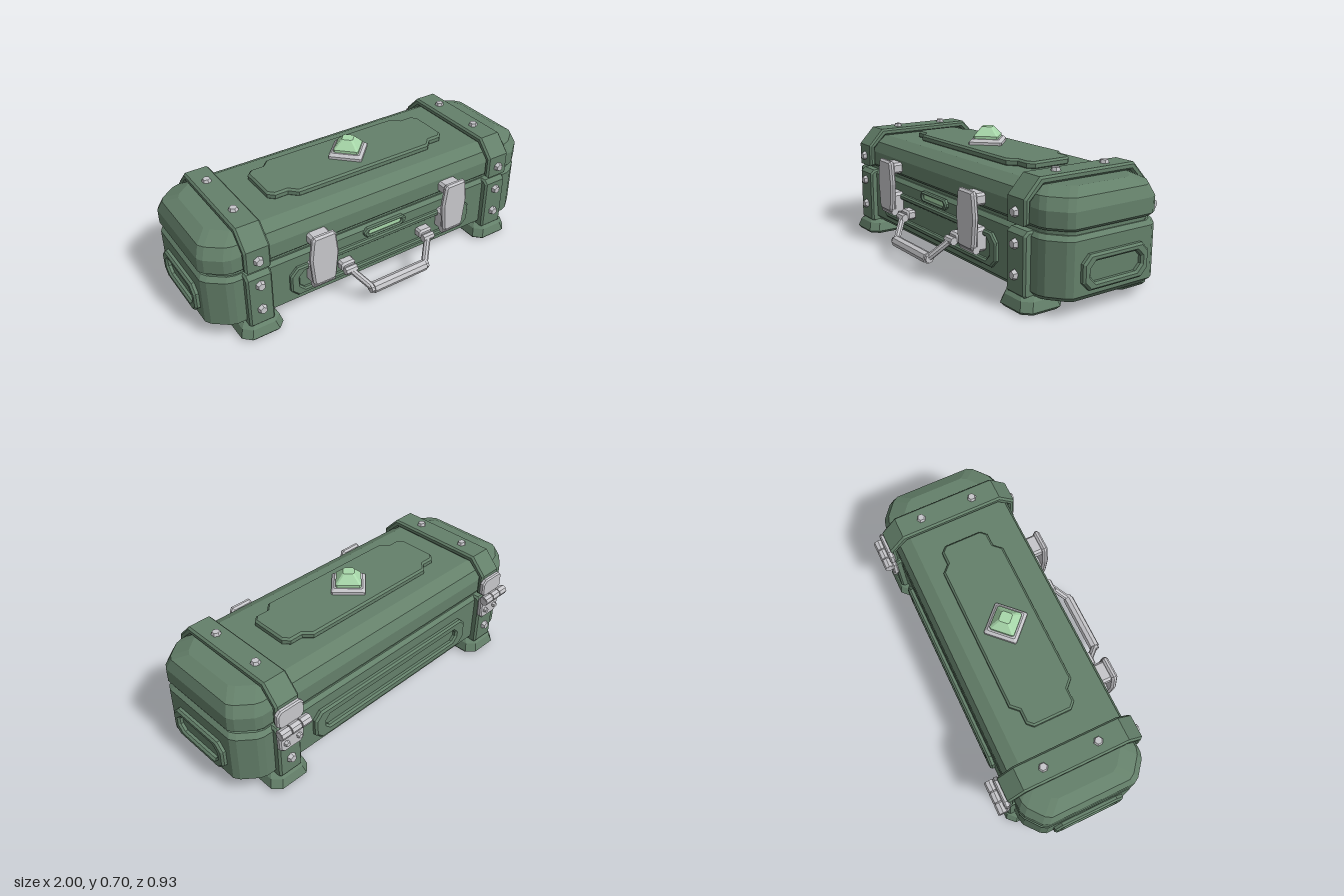
import * as THREE from 'three';

const mat = (name, color) => Object.assign(new THREE.MeshStandardMaterial({ color }), { name });

// Mirrors a quarter outline (from the x side round to the y side) into a closed loop
const mirror4 = (q) => {
  const r = [...q].reverse();
  return [...q, ...r.map(([x, y]) => [-x, y]), ...q.map(([x, y]) => [-x, -y]), ...r.map(([x, y]) => [x, -y])];
};
// Rectangle with cut corners; cuts are distances in from the sharp corner
const cutRect = (hx, hy, cuts) => mirror4(cuts.map(([a, b]) => [hx - a, hy - b]));
const octagon = (hx, hy, c) => cutRect(hx, hy, [[0, c], [c, 0]]);

const facet = (geo) => {
  const g = geo.index ? geo.toNonIndexed() : geo;
  g.computeVertexNormals();
  return g;
};

// Stacks inset copies of a cut rectangle: levels are [height, inset]
function loft(hx, hz, cuts, levels) {
  const rings = levels.map(([y, i]) => cutRect(hx - i, hz - i, cuts).map(([x, z]) => [x, y, z]));
  const v = [];
  const n = rings[0].length, last = rings.length - 1;
  for (let k = 0; k < n; k++) {
    const m = (k + 1) % n;
    for (let j = 0; j < last; j++) {
      const [a, b, c, d] = [rings[j][k], rings[j][m], rings[j + 1][k], rings[j + 1][m]];
      v.push(...a, ...c, ...b, ...b, ...c, ...d);
    }
    v.push(0, levels[0][0], 0, ...rings[0][k], ...rings[0][m]);
    v.push(0, levels[last][0], 0, ...rings[last][m], ...rings[last][k]);
  }
  const g = new THREE.BufferGeometry();
  g.setAttribute('position', new THREE.Float32BufferAttribute(v, 3));
  return facet(g);
}

// Bevelled plate from z = 0 to z = depth, with an optional hole
function slab(pts, depth, bevel, hole) {
  const toVec = (p) => p.map(([x, y]) => new THREE.Vector2(x, y));
  const shape = new THREE.Shape(toVec(pts));
  if (hole) shape.holes.push(new THREE.Path(toVec(hole)));
  const g = new THREE.ExtrudeGeometry(shape, {
    depth: depth - 2 * bevel, bevelEnabled: true, bevelSegments: 1,
    bevelThickness: bevel, bevelSize: bevel, bevelOffset: -bevel,
  });
  return facet(g.translate(0, 0, bevel));
}

const cylinder = (rTop, rBottom, h, sides) => facet(new THREE.CylinderGeometry(rTop, rBottom, h, sides));

export function createModel() {
  const group = new THREE.Group();
  const green = mat('case green', 0x64806a);
  const metal = mat('light metal', 0xc6c6ca);
  const glow = mat('pale green gem', 0xa8d8aa);
  const CZ = -0.04;

  const add = (name, geo, material, pos = [0, 0, 0], rot = [0, 0, 0]) => {
    const m = new THREE.Mesh(geo, material);
    m.name = name;
    m.position.set(...pos);
    m.rotation.set(...rot);
    group.add(m);
    return m;
  };
  const rod = (name, a, b, r, sides, material) => {
    const A = new THREE.Vector3(...a), B = new THREE.Vector3(...b);
    const d = B.clone().sub(A);
    const m = add(name, cylinder(r, r, d.length(), sides), material, A.add(B).multiplyScalar(0.5).toArray());
    m.quaternion.setFromUnitVectors(new THREE.Vector3(0, 1, 0), d.normalize());
  };
  const FRONT = [0, 0, 0], BACK = [0, Math.PI, 0], UP = [-Math.PI / 2, 0, 0];

  // Case halves with rounded corners and a recessed seam
  const corner = [[0, 0.1], [0.018, 0.07], [0.09, 0.012], [0.125, 0]];
  add('lowerCase', loft(0.975, 0.33, corner,
    [[0.07, 0.03], [0.1, 0], [0.355, 0], [0.375, 0.018]]), green, [0, 0, CZ]);
  add('seam', loft(0.95, 0.305, corner, [[0.365, 0], [0.405, 0]]), green, [0, 0, CZ]);
  add('lid', loft(0.975, 0.33, corner,
    [[0.395, 0.015], [0.41, 0], [0.485, 0], [0.54, 0.022], [0.573, 0.085]]), green, [0, 0, CZ]);

  // Raised panels on the top, front, back and ends
  const topQuarter = [[0.535, 0.1], [0.505, 0.13], [0.435, 0.13], [0.395, 0.17]];
  add('topPanel', slab(mirror4(topQuarter), 0.04, 0.01), green, [0, 0.568, CZ], UP);
  add('frontPanel', slab(octagon(0.56, 0.085, 0.04), 0.03, 0.008, octagon(0.51, 0.055, 0.03)),
    green, [0, 0.215, 0.28], FRONT);
  add('backPanel', slab(octagon(0.56, 0.085, 0.04), 0.035, 0.01, octagon(0.49, 0.038, 0.025)),
    green, [0, 0.215, -0.36], BACK);
  for (const s of [1, -1]) {
    add('endPanel', slab(octagon(0.194, 0.083, 0.04), 0.035, 0.01, octagon(0.152, 0.048, 0.03)),
      green, [s * 0.965, 0.208, CZ], [0, s * Math.PI / 2, 0]);
  }

  // Gem on its diamond mount
  add('gemMount', loft(0.087, 0.087, [[0, 0.006], [0.006, 0]],
    [[0.6, 0], [0.622, 0], [0.636, 0.014]]), metal, [0, 0, CZ], [0, Math.PI / 4, 0]);
  add('gem', loft(0.065, 0.065, [[0, 0.008], [0.008, 0]],
    [[0.634, 0], [0.65, 0], [0.696, 0.036]]), glow, [0, 0, CZ], [0, Math.PI / 4, 0]);

  // Indicator slot
  add('indicatorFrame', slab(octagon(0.13, 0.027, 0.02), 0.03, 0.007, octagon(0.1, 0.013, 0.008)),
    green, [0, 0.339, 0.28]);
  add('indicatorLight', slab(octagon(0.102, 0.015, 0.008), 0.009, 0.001), glow, [0, 0.339, 0.29]);

  // Strap profiles, across the case
  const half = (p) => [...p, ...[...p].reverse().map(([x, y]) => [-x, y])];
  const lidStrap = half([[0.365, 0.4], [0.365, 0.52], [0.28, 0.61]]);
  lidStrap.push(...half([[-0.332, 0.4], [-0.332, 0.505], [-0.262, 0.573]]));
  const caseStrap = half([[0.352, 0.065], [0.365, 0.08], [0.365, 0.355], [0.342, 0.375]]);
  const latchShape = half([[0.055, -0.14], [0.066, -0.12], [0.08, 0.02], [0.066, 0.13], [0.056, 0.145]]);
  const hingeLeaf = half([[0.05, -0.13], [0.072, -0.11], [0.076, 0]]);
  const bolt = cylinder(0.019, 0.027, 0.022, 6);

  for (const s of [1, -1]) {
    const x = s * 0.733;
    // Straps and feet
    const strapAt = [x - 0.068, 0, CZ];
    add('lidStrap', slab(lidStrap, 0.136, 0.01), green, strapAt, [0, Math.PI / 2, 0]);
    add('caseStrap', slab(caseStrap, 0.136, 0.01), green, strapAt, [0, Math.PI / 2, 0]);
    for (const z of [0.232, -0.306]) {
      add('foot', loft(0.115, 0.118, [[0, 0.04], [0.04, 0]],
        [[0, 0.012], [0.015, 0], [0.06, 0.014], [0.077, 0.032]]), green, [x, 0, z]);
    }

    // Bolts
    for (const y of [0.165, 0.31, 0.455]) add('frontBolt', bolt, metal, [x, y, 0.334], [Math.PI / 2, 0, 0]);
    add('backBolt', bolt, metal, [x, 0.165, -0.414], [-Math.PI / 2, 0, 0]);
    for (const z of [0.103, -0.19]) add('topBolt', bolt, metal, [x, 0.615, z]);

    // Hinge: two leaves, three knuckles and leaf bolts
    add('lowerHingeLeaf', slab(hingeLeaf, 0.03, 0.007), metal, [x, 0.38, -0.395], BACK);
    add('upperHingeLeaf', slab(octagon(0.078, 0.053, 0.022), 0.03, 0.007), metal, [x, 0.45, -0.395], BACK);
    for (const k of [-1, 0, 1]) {
      add('hingeKnuckle', cylinder(0.026, 0.026, 0.054, 8), metal,
        [x + k * 0.06, 0.388, -0.441], [0, 0, Math.PI / 2]);
    }
    rod('hingePin', [x - 0.088, 0.388, -0.441], [x + 0.088, 0.388, -0.441], 0.018, 8, metal);
    for (const k of [-1, 1]) {
      add('hingeBolt', cylinder(0.012, 0.017, 0.02, 6), metal,
        [x + k * 0.038, 0.3, -0.431], [-Math.PI / 2, 0, 0]);
    }

    // Latch: lever, backing, keeper and pivot
    const lx = s * 0.402;
    add('latchLever', slab(latchShape, 0.032, 0.01), metal, [lx, 0.345, 0.341]);
    add('latchBase', slab(octagon(0.06, 0.06, 0.015), 0.065, 0.008), metal, [lx, 0.25, 0.283]);
    add('latchKeeper', slab(octagon(0.055, 0.03, 0.012), 0.065, 0.008), metal, [lx, 0.445, 0.283]);
    rod('latchPivot', [lx - 0.06, 0.203, 0.345], [lx + 0.06, 0.203, 0.345], 0.02, 8, metal);

    // Handle mounts and arms
    add('handleMount', slab(octagon(0.04, 0.025, 0.01), 0.055, 0.01), metal, [s * 0.245, 0.212, 0.285]);
    rod('handlePivot', [s * 0.212, 0.2, 0.352], [s * 0.278, 0.2, 0.352], 0.021, 8, metal);
    rod('handleArm', [s * 0.245, 0.2, 0.352], [s * 0.165, 0.1, 0.435], 0.018, 8, metal);
    rod('handleCollar', [s * 0.15, 0.1, 0.435], [s * 0.182, 0.1, 0.435], 0.023, 8, metal);
  }
  rod('handleGrip', [-0.165, 0.1, 0.435], [0.165, 0.1, 0.435], 0.03, 8, metal);

  return group;
}
